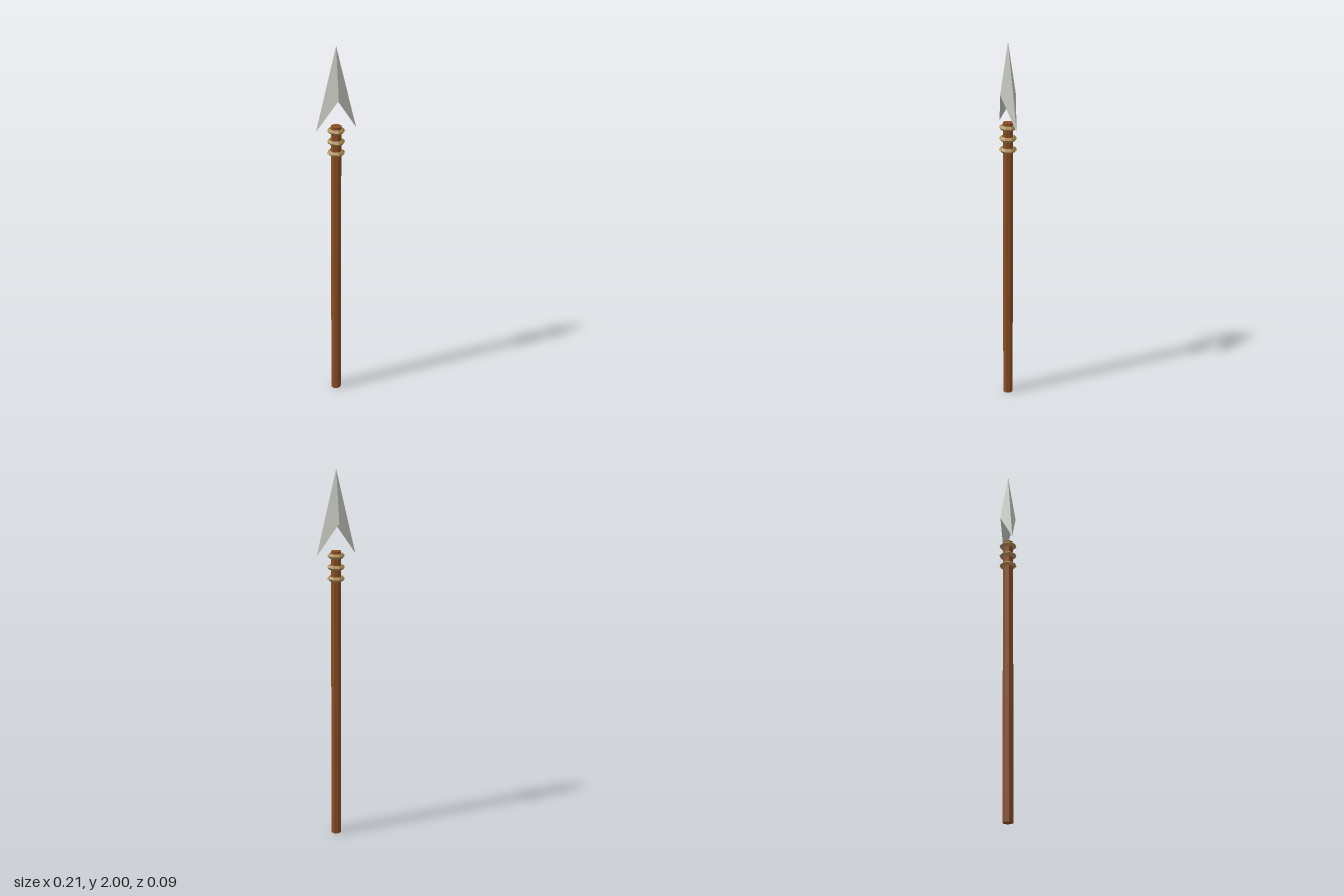
import * as THREE from 'three';

const flat = (color) => new THREE.MeshStandardMaterial({ color, flatShading: true });

// Barbed spearhead: two mirrored tetrahedra meeting at a central ridge
function headGeometry() {
  const tip = [0, 2, 0];
  const front = [0, 1.73, 0.043], back = [0, 1.73, -0.043];
  const left = [0.107, 1.56, 0], right = [-0.107, 1.56, 0];
  const faces = [
    [tip, front, left], [tip, left, back],
    [tip, right, front], [tip, back, right],
    [front, back, left], [back, front, right], // notch undersides
  ];
  const geo = new THREE.BufferGeometry();
  geo.setAttribute('position', new THREE.Float32BufferAttribute(faces.flat(2), 3));
  geo.computeVertexNormals();
  return geo;
}

export function createModel() {
  const model = new THREE.Group();
  model.name = 'spear';

  const add = (name, geo, mat, y = 0) => {
    const mesh = new THREE.Mesh(geo, mat);
    mesh.name = name;
    mesh.position.y = y;
    model.add(mesh);
  };

  // Octagonal wooden shaft
  const length = 1.58;
  add('shaft', new THREE.CylinderGeometry(0.028, 0.028, length, 8), flat(0x8b4f26), length / 2);

  // Three faceted brass collars near the top
  const ring = new THREE.TorusGeometry(0.034, 0.013, 4, 8).rotateX(Math.PI / 2);
  const brass = flat(0xa88850);
  [1.435, 1.495, 1.555].forEach((y, i) => add('collar' + (i + 1), ring, brass, y));

  // Floating metal head
  add('spearhead', headGeometry(), flat(0xc6c8c0));

  return model;
}
